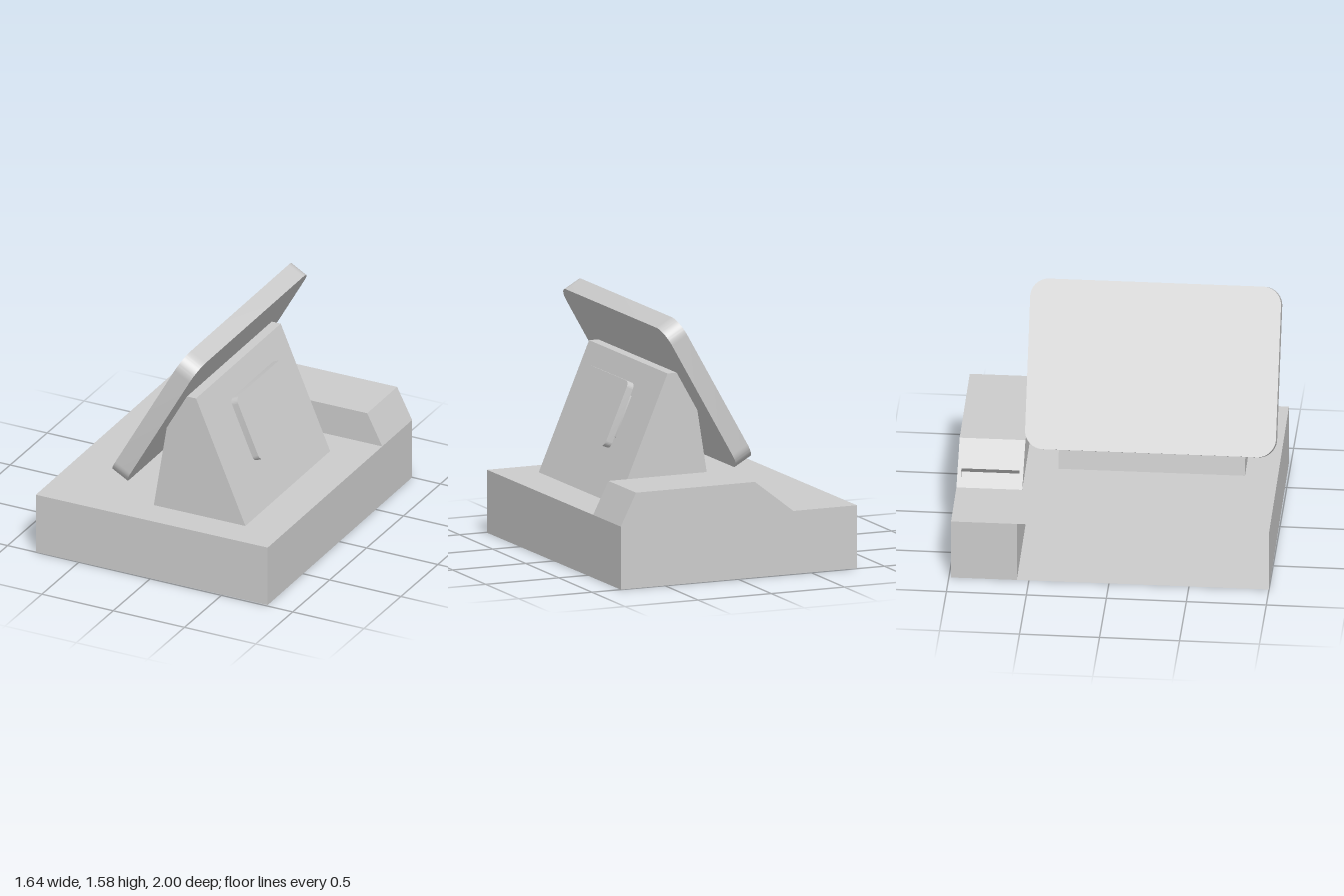
import * as THREE from 'three';
import { toCreasedNormals } from 'three/addons/utils/BufferGeometryUtils.js';

const grey = new THREE.MeshStandardMaterial({ color: 0xcccccc });
const thin = new THREE.MeshStandardMaterial({ color: 0xcccccc, side: THREE.DoubleSide });

function add(parent, name, geometry, material = grey) {
  const mesh = new THREE.Mesh(geometry, material);
  mesh.name = name;
  parent.add(mesh);
  return mesh;
}

// Side profile in x, y swept from z0 to z1
function sweep(points, z0, z1) {
  const shape = new THREE.Shape(points.map(([x, y]) => new THREE.Vector2(x, y)));
  return new THREE.ExtrudeGeometry(shape, { depth: z1 - z0, bevelEnabled: false }).translate(0, 0, z0);
}

// Rounded slab whose back centre sits at (x, y, z); its face points along (nx, ny)
function slab(w, h, r, depth, [x, y, z], [nx, ny]) {
  const s = new THREE.Shape();
  const a = w / 2, b = h / 2;
  s.absarc(a - r, b - r, r, 0, Math.PI / 2);
  s.absarc(-a + r, b - r, r, Math.PI / 2, Math.PI);
  s.absarc(-a + r, -b + r, r, Math.PI, Math.PI * 1.5);
  s.absarc(a - r, -b + r, r, Math.PI * 1.5, Math.PI * 2);
  s.closePath();
  const g = toCreasedNormals(
    new THREE.ExtrudeGeometry(s, { depth, bevelEnabled: false, curveSegments: 10 }), 0.5);
  const normal = new THREE.Vector3(nx, ny, 0).normalize();
  const side = new THREE.Vector3(0, 0, nx < 0 ? 1 : -1);
  const up = new THREE.Vector3().crossVectors(normal, side);
  return g.applyMatrix4(new THREE.Matrix4().makeBasis(side, up, normal).setPosition(x, y, z));
}

export function createModel() {
  const model = new THREE.Group();
  model.name = 'pointOfSaleTerminal';
  const body = new THREE.Group();
  body.name = 'terminal';
  body.rotation.y = 0.008;
  model.add(body);

  const X = 0.81, Z = 0.993, H = 0.4, split = -0.582;

  // Drawer housing: thin shell, open on the side the screen faces
  const housing = new THREE.Group();
  housing.name = 'drawerHousing';
  body.add(housing);
  const len = Z - split, mid = (Z + split) / 2;
  for (const [name, y] of [['housingTop', H], ['housingFloor', 0]]) {
    const g = new THREE.PlaneGeometry(2 * X, len).rotateX(y ? -Math.PI / 2 : Math.PI / 2);
    add(housing, name, g.translate(0, y, mid), thin);
  }
  add(housing, 'housingFrontWall', new THREE.PlaneGeometry(2 * X, H).translate(0, H / 2, Z), thin);
  add(housing, 'housingSideWall',
    new THREE.PlaneGeometry(len, H).rotateY(Math.PI / 2).translate(X, H / 2, mid), thin);

  // Printer block: sloped nose with a paper slot notched into its middle span
  const printer = new THREE.Group();
  printer.name = 'printer';
  body.add(printer);
  const profile = (slot) => [
    [-X, 0], [X, 0], [X, H], [0.705, 0.607], [-0.11, 0.607],
    ...slot, [-0.375, H], [-X, H],
  ];
  const notch = [[-0.273, 0.480], [-0.243, 0.441], [-0.288, 0.406], [-0.318, 0.4445]];
  add(printer, 'printerRearSpan', sweep(profile([]), -Z, -0.97));
  add(printer, 'printerSlotSpan', sweep(profile(notch), -0.97, -0.607));
  add(printer, 'printerFrontSpan', sweep(profile([]), -0.607, split));

  // Wedge stand
  add(body, 'stand', sweep(
    [[-0.09, H], [0.55, H], [0.205, 1.21], [0.142, 1.21], [0, 0.96]], -0.377, 0.788));

  // Main touch screen, leaning back on the stand
  add(body, 'screen', slab(1.567, 1.064, 0.115, 0.12, [0.0575, 1.0625, 0.21], [-0.87, 0.493]));

  // Customer display and its mount on the far face of the stand
  add(body, 'displayMount', slab(0.465, 0.277, 0.005, 0.055, [0.344, 0.883, 0.204], [0.92, 0.392]));
  add(body, 'customerDisplay', slab(0.626, 0.433, 0.04, 0.045, [0.39, 0.905, 0.204], [0.92, 0.392]));

  return model;
}
